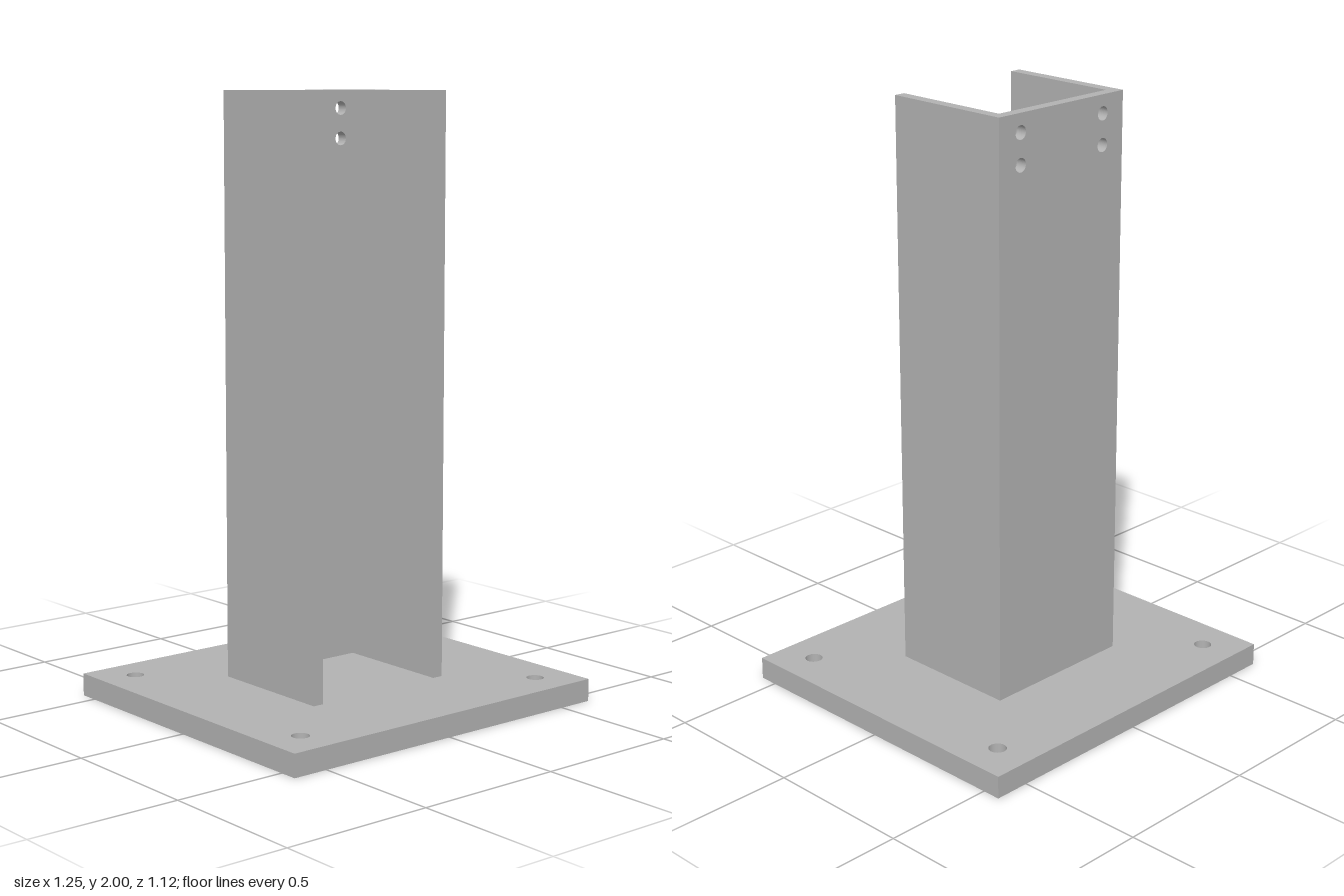
import * as THREE from 'three';

// Rectangular sheet centred on (0, cy) with round through holes, extruded along +z
function drilledSheet(width, height, cy, depth, holes, radius) {
  const w = width / 2, h = height / 2;
  const shape = new THREE.Shape([
    new THREE.Vector2(-w, cy - h), new THREE.Vector2(w, cy - h),
    new THREE.Vector2(w, cy + h), new THREE.Vector2(-w, cy + h),
  ]);
  for (const [x, y] of holes) {
    shape.holes.push(new THREE.Path().absarc(x, y, radius, 0, Math.PI * 2, true));
  }
  return new THREE.ExtrudeGeometry(shape, { depth, bevelEnabled: false, curveSegments: 24 });
}

export function createModel() {
  const model = new THREE.Group();
  model.name = 'channelPost';
  const steel = new THREE.MeshStandardMaterial({ color: 0xb2b2b2 });
  steel.name = 'grey steel';

  const add = (name, geometry, x, y, z) => {
    const mesh = new THREE.Mesh(geometry, steel);
    mesh.name = name;
    mesh.position.set(x, y, z);
    model.add(mesh);
    return mesh;
  };

  const plateT = 0.075, top = 2, wall = 0.0375;
  const halfW = 0.274, halfD = 0.225;
  const postH = top - plateT, midY = plateT + postH / 2;

  // Base plate with four anchor holes
  const anchors = [];
  for (const x of [-0.499, 0.499]) for (const z of [-0.437, 0.437]) anchors.push([x, z]);
  const plate = drilledSheet(1.245, 1.124, 0, plateT, anchors, 0.029);
  plate.rotateX(-Math.PI / 2);
  add('basePlate', plate, 0, 0, 0);

  // Back web of the channel with four bolt holes near the top
  const bolts = [];
  for (const x of [-0.182, 0.182]) for (const y of [1.84, 1.94]) bolts.push([x, y]);
  add('backWeb', drilledSheet(halfW * 2, postH, midY, wall, bolts, 0.0225), 0, 0, -halfD);

  // Side flanges, open towards the front
  const flangeD = halfD * 2 - wall;
  for (const [name, side] of [['leftFlange', 1], ['rightFlange', -1]]) {
    add(name, new THREE.BoxGeometry(wall, postH, flangeD),
      side * (halfW - wall / 2), midY, wall / 2);
  }
  return model;
}
